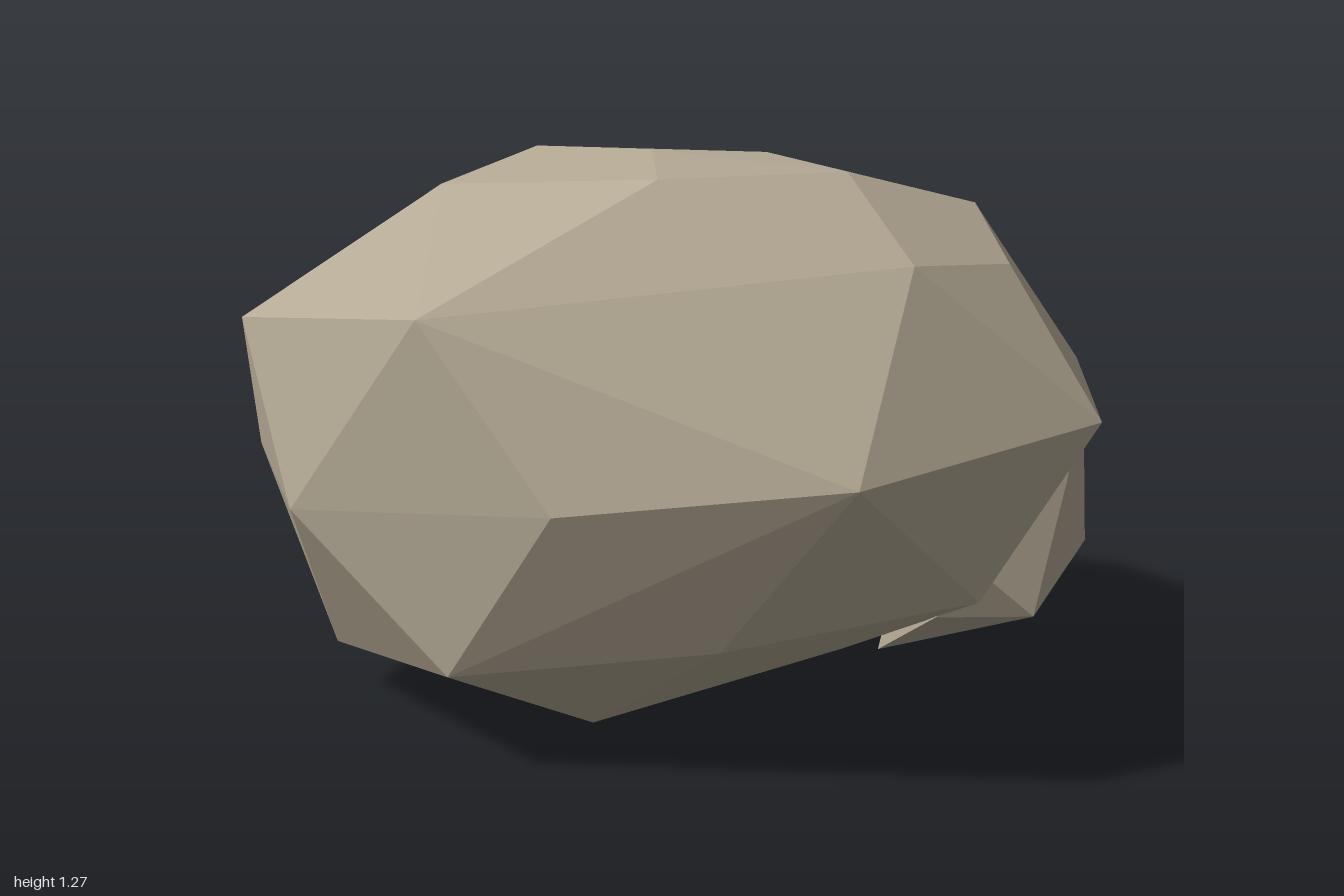
import * as THREE from 'three';
import { ConvexGeometry } from 'three/addons/geometries/ConvexGeometry.js';

// Faceted stone: the hull of a set of corner points, with flat face normals
function stone(name, corners, material) {
  const points = corners.map(([x, y, z]) => new THREE.Vector3(x, y, z));
  const mesh = new THREE.Mesh(new ConvexGeometry(points), material);
  mesh.name = name;
  return mesh;
}

export function createModel() {
  const model = new THREE.Group();
  model.name = 'rock';
  const stoneMaterial = new THREE.MeshStandardMaterial({ color: 0xb5aa95 });
  stoneMaterial.name = 'stone';

  // Corners of the boulder, from crown to base
  const crown = [
    [-0.03, 1.27, 0.06], [-0.41, 1.25, -0.225], [0.165, 1.245, -0.25], [0.425, 1.237, 0.11],
    [0.1, 1.243, 0.457], [-0.462, 1.2, 0.25],
  ];
  const shoulder = [
    [0.63, 1.095, 0.505], [0.78, 1.052, 0.12], [0.665, 1.14, -0.245], [0.34, 1.083, -0.565],
    [-0.2, 1.115, -0.65], [-0.65, 0.94, -0.45], [-0.79, 0.965, -0.05], [-0.875, 0.91, 0.43],
    [-0.335, 0.975, 0.695],
  ];
  const waist = [
    [-1, 0.545, 0.16], [-0.665, 0.54, 0.64], [-0.022, 0.615, 0.783], [0.57, 0.697, 0.72],
    [0.995, 0.78, 0.378], [0.92, 0.813, -0.11], [0.63, 0.81, -0.5], [0.135, 0.77, -0.755],
    [-0.52, 0.65, -0.765], [-0.83, 0.59, -0.33],
  ];
  const underside = [
    [-0.285, 0.225, 0.705], [0.28, 0.31, 0.63], [0.78, 0.42, 0.49], [0.82, 0.44, 0.06],
    [0.83, 0.505, -0.335], [0.39, 0.45, -0.59], [-0.14, 0.38, -0.785], [-0.75, 0.35, -0.12],
    [-0.73, 0.12, 0.33],
  ];
  const base = [
    [-0.085, 0, 0.355], [-0.4, 0.025, -0.1], [0.135, 0.06, -0.04], [0.46, 0.19, 0.23],
    [0.53, 0.27, -0.18], [0.02, 0.15, -0.415], [-0.45, 0.2, -0.37],
  ];
  model.add(stone('boulder', [...crown, ...shoulder, ...waist, ...underside, ...base], stoneMaterial));

  // Small chip wedged into the lower left flank
  model.add(stone('chip', [
    [0.955, 0.77, 0.26], [0.885, 0.382, 0.437], [0.965, 0.415, -0.01], [0.53, 0.17, 0.16],
    [0.8, 0.462, 0.475], [0.69, 0.365, 0.45], [0.92, 0.54, -0.04], [0.8, 0.41, -0.055],
    [0.6, 0.5, 0.2],
  ], stoneMaterial));

  return model;
}
